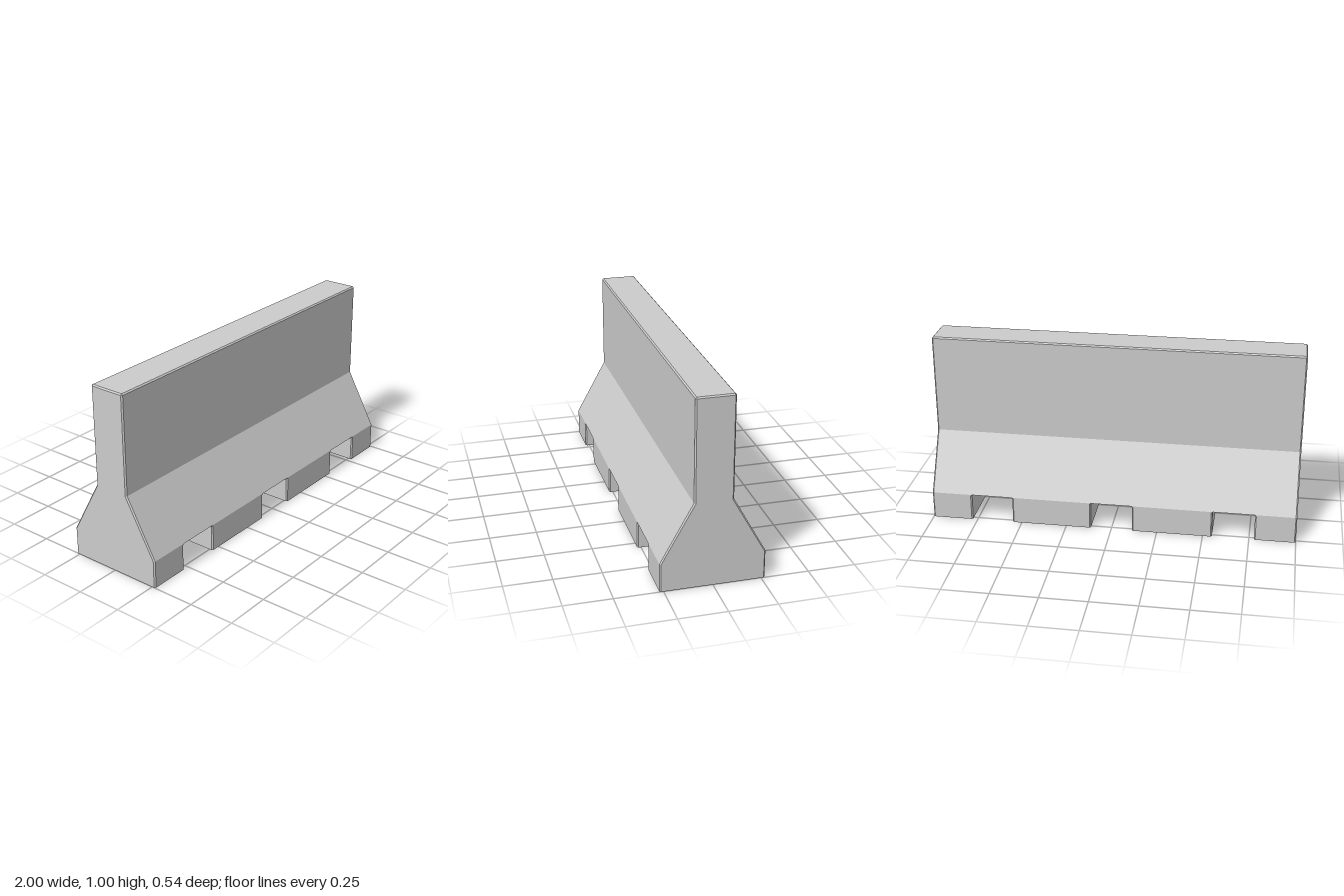
import * as THREE from 'three';

const B = 0.007; // chamfer width
const FOOT_H = 0.15;

// Joins matching counter-clockwise loops of [u, v] points stacked along w, with flat shading.
// place(u, v, w) turns loop coordinates into a position.
function loft(sections, place, capEnd = true) {
  const pos = [];
  const tri = (...pts) => pts.forEach(([u, v, w]) => pos.push(...place(u, v, w)));
  const at = (s, i) => [...s.loop[i % s.loop.length], s.w];
  for (let k = 0; k < sections.length - 1; k++) {
    const lo = sections[k], hi = sections[k + 1];
    for (let i = 0; i < lo.loop.length; i++) {
      tri(at(lo, i), at(lo, i + 1), at(hi, i + 1));
      tri(at(lo, i), at(hi, i + 1), at(hi, i));
    }
  }
  const cap = (s, flip) => {
    const contour = s.loop.map(([u, v]) => new THREE.Vector2(u, v));
    for (const [a, b, c] of THREE.ShapeUtils.triangulateShape(contour, [])) {
      if (flip) tri(at(s, c), at(s, b), at(s, a));
      else tri(at(s, a), at(s, b), at(s, c));
    }
  };
  cap(sections[0], true);
  if (capEnd) cap(sections[sections.length - 1], false);
  const geometry = new THREE.BufferGeometry();
  geometry.setAttribute('position', new THREE.Float32BufferAttribute(pos, 3));
  geometry.computeVertexNormals();
  return geometry;
}

// Mirrors one half of the barrier profile into a closed loop.
const mirrored = (half) => [...half, ...half.map(([u, v]) => [-u, v]).reverse()];

// Foot outline with chamfered vertical corners; flare widens it towards the notches.
function footLoop(x0, x1, flare) {
  const a = Math.abs(x0) > 0.99 ? x0 : x0 - flare;
  const b = Math.abs(x1) > 0.99 ? x1 : x1 + flare;
  const z = 0.27;
  return [
    [-z + B, a], [z - B, a], [z, a + B], [z, b - B],
    [z - B, b], [-z + B, b], [-z, b - B], [-z, a + B],
  ];
}

export function createModel() {
  const group = new THREE.Group();
  group.name = 'roadBarrier';
  const material = new THREE.MeshStandardMaterial({ color: 0xcccccc, flatShading: true });
  const add = (name, geometry) => {
    const mesh = new THREE.Mesh(geometry, material);
    mesh.name = name;
    group.add(mesh);
  };

  // Wall: sloped skirt and upright slab, with chamfered ends and top edges
  const full = mirrored([[0.27, FOOT_H], [0.1, 0.457], [0.1, 1 - B], [0.1 - B, 1]]);
  const inset = mirrored([[0.27 - B, FOOT_H], [0.1 - B, 0.455], [0.1 - B, 0.992], [0.092, 1 - B]]);
  add('wall', loft([
    { loop: inset, w: -1 },
    { loop: full, w: -1 + B },
    { loop: full, w: 1 - B },
    { loop: inset, w: 1 },
  ], (u, v, w) => [w, v, -u]));

  // Feet: four blocks separated by three through notches
  const feet = {
    rightOuterFoot: [-1, -0.777],
    rightInnerFoot: [-0.55, -0.113],
    leftInnerFoot: [0.113, 0.55],
    leftOuterFoot: [0.777, 1],
  };
  for (const [name, [x0, x1]] of Object.entries(feet)) {
    add(name, loft([
      { loop: footLoop(x0, x1, 0), w: 0 },
      { loop: footLoop(x0, x1, 0), w: FOOT_H - B },
      { loop: footLoop(x0, x1, B), w: FOOT_H },
    ], (u, v, w) => [v, w, u], false));
  }
  return group;
}
